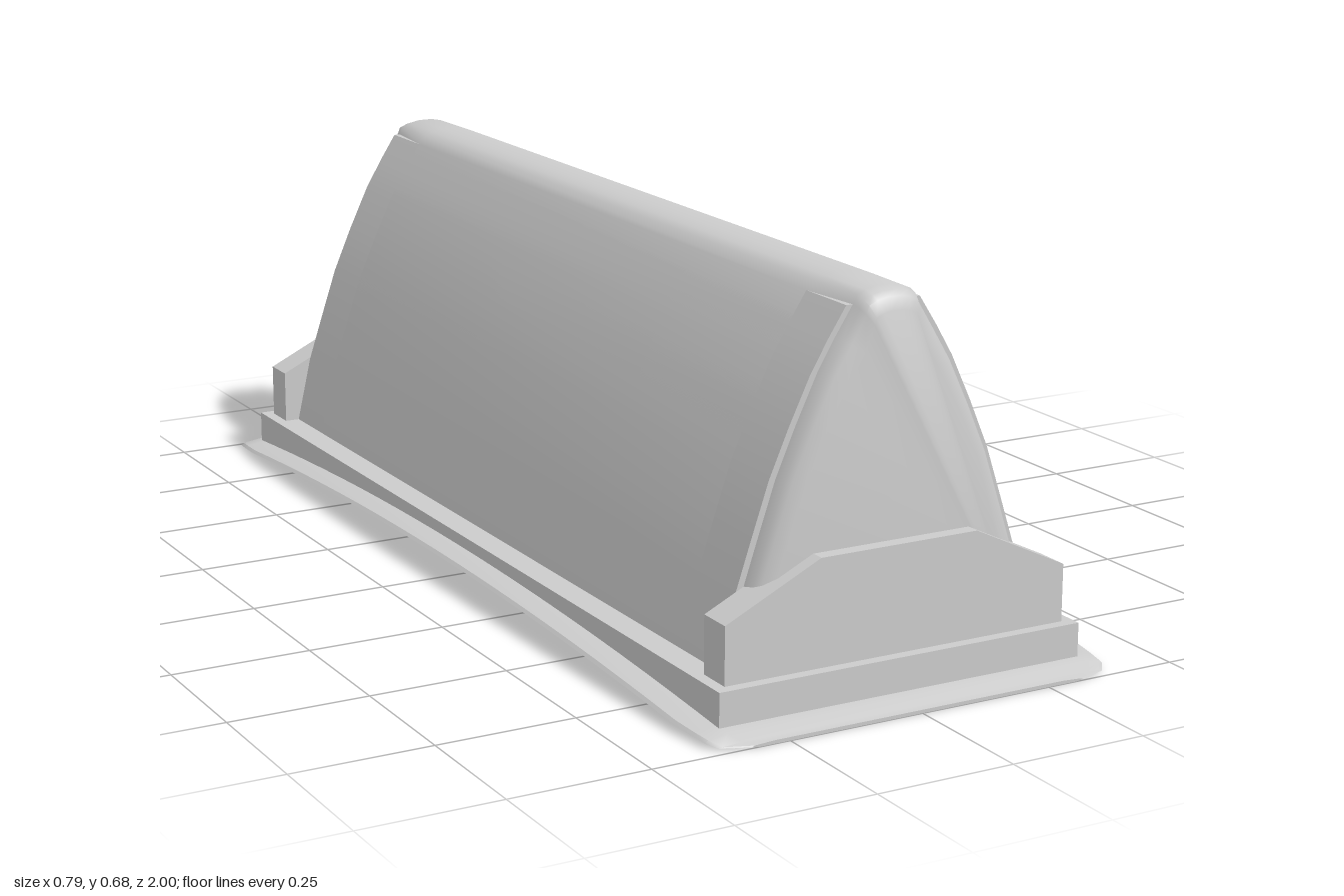
import * as THREE from 'three';
import { toCreasedNormals } from 'three/addons/utils/BufferGeometryUtils.js';

const grey = new THREE.MeshStandardMaterial({ color: 0xcccccc });

// Skin a row of counter-clockwise sections running toward +z and close both ends
function loft(sections, crease = 0.6) {
  const n = sections[0].length, last = sections.length - 1;
  const index = [];
  for (let s = 0; s < last; s++) {
    for (let i = 0; i < n; i++) {
      const a = s * n + i, b = s * n + (i + 1) % n;
      index.push(a, b, b + n, a, b + n, a + n);
    }
  }
  for (let i = 1; i < n - 1; i++) {
    index.push(0, i + 1, i);
    index.push(last * n, last * n + i, last * n + i + 1);
  }
  const geo = new THREE.BufferGeometry();
  geo.setAttribute('position', new THREE.Float32BufferAttribute(sections.flat(2), 3));
  geo.setIndex(index);
  return toCreasedNormals(geo, crease);
}

// Mirror a right-hand profile (bottom to top) into a closed ring
const ring = (half, z) => [
  ...half.map(([x, y]) => [x, y, z]),
  ...half.slice().reverse().map(([x, y]) => [-x, y, z]),
];

// Underside of the base bows upward along its length
const bow = (z) => 0.042 * (1 - z * z);

const range = (a, b, n) => Array.from({ length: n + 1 }, (_, i) => a + (b - a) * i / n);

export function createModel() {
  const model = new THREE.Group();
  const add = (name, geo) => {
    const mesh = new THREE.Mesh(geo, grey);
    mesh.name = name;
    model.add(mesh);
    return mesh;
  };

  // Thin bowed gasket with clipped corners and bevelled rim
  const tip = [[0.93, 0.39], [0.965, 0.385], [0.985, 0.37], [1, 0.32]];
  const stations = [
    ...tip.slice().reverse().map(([z, w]) => [-z, w]),
    ...range(-0.88, 0.88, 20).map((z) => [z, 0.395]),
    ...tip,
  ];
  add('basePad', loft(stations.map(([z, w]) => {
    const y = bow(z), thin = Math.abs(z) > 0.98 ? 0.4 : 1;
    return ring([[w - 0.015, y], [w, y + 0.005 * thin], [w - 0.005, y + 0.01 * thin],
      [w - 0.04, y + 0.015 * thin]], z);
  })));

  // Plinth, flat on top, following the pad beneath
  add('plinth', loft(range(-0.945, 0.945, 20).map((z) =>
    ring([[0.348, bow(z) + 0.006], [0.348, 0.079]], z))));

  // Arched housing with rounded ends
  const profile = [[0.30, 0.075], [0.27, 0.205], [0.242, 0.29], [0.21, 0.385], [0.174, 0.468],
    [0.135, 0.55], [0.103, 0.604], [0.07, 0.655]];
  const crown = [[0.055, 0.67], [0.038, 0.677], [0.018, 0.681]];
  const arch = [...profile, ...crown];
  const inset = (d, step) => arch.map(([x, y]) => [
    x - d * Math.min(1, x / 0.08) * (x < 0.08 ? 0.6 : 1) - (y < 0.66 ? step : step * 0.3),
    y - d * Math.pow(y / 0.68, 4),
  ]);
  const ends = [[0.74, 0, 0], [0.86, 0, 0.012], [0.878, 0.005, 0.012],
    [0.89, 0.013, 0.012], [0.9, 0.033, 0.012]];
  add('housing', loft([
    ...ends.slice().reverse().map(([z, d, s]) => ring(inset(d, s), -z)),
    ...ends.map(([z, d, s]) => ring(inset(d, s), z)),
  ], 0.85));

  // Side panels standing slightly proud at each end
  add('sidePanels', loft([-0.86, 0.86].map((z) => ring(profile, z))));

  // Gabled brackets at both ends
  const gable = new THREE.Shape([
    [-0.327, 0.079], [0.327, 0.079], [0.327, 0.18], [0.15, 0.265], [-0.15, 0.265], [-0.327, 0.18],
  ].map(([x, y]) => new THREE.Vector2(x, y)));
  const bracket = new THREE.ExtrudeGeometry(gable, { depth: 0.065, bevelEnabled: false });
  add('frontBracket', bracket).position.z = 0.86;
  add('backBracket', bracket).position.z = -0.925;

  return model;
}
